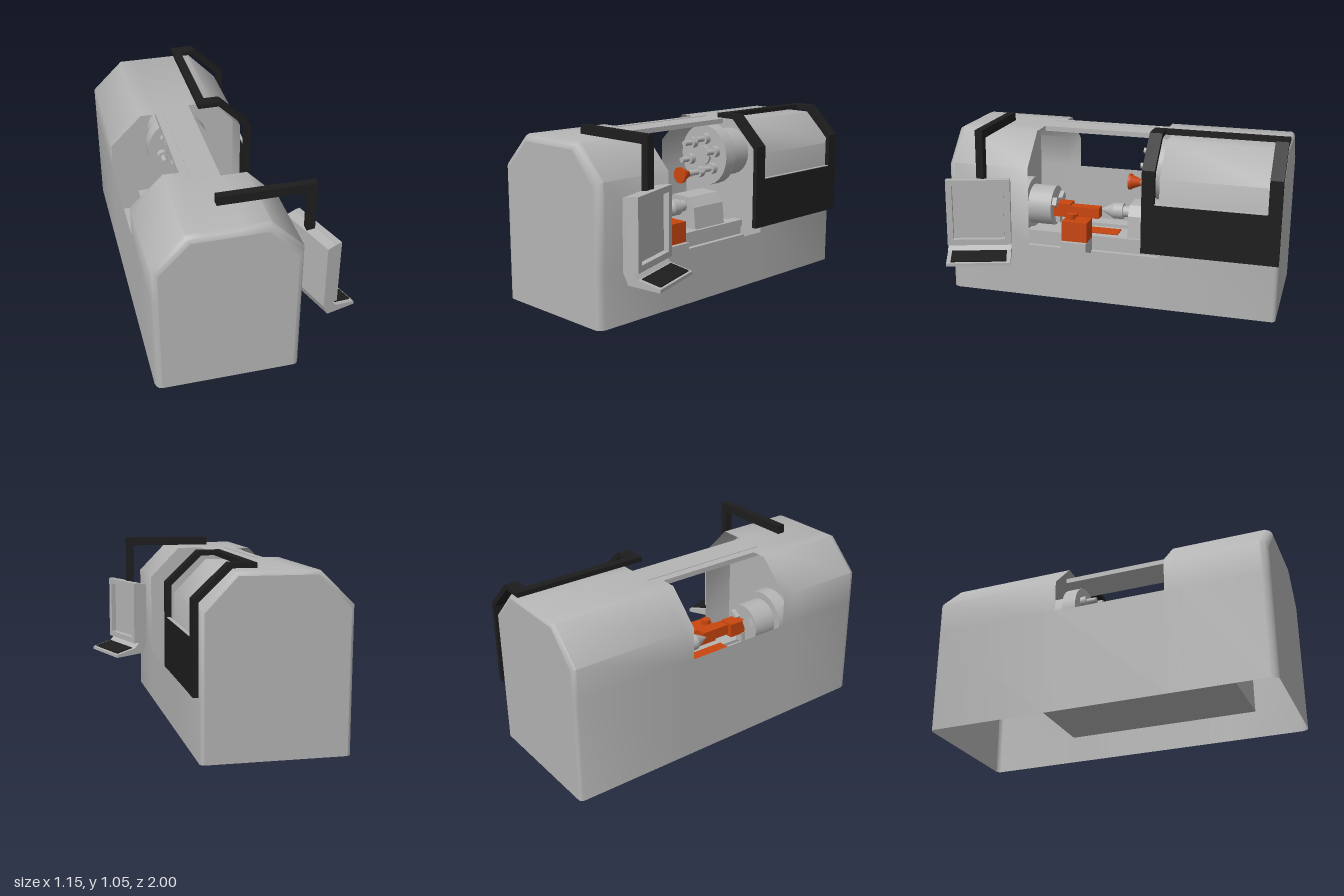
import * as THREE from 'three';
import { toCreasedNormals } from 'three/addons/utils/BufferGeometryUtils.js';

const mat = (name, color, double) => {
  const m = new THREE.MeshStandardMaterial({ color });
  m.name = name;
  if (double) m.side = THREE.DoubleSide;
  return m;
};

export function createModel() {
  const grey = mat('machine grey', 0xb4b4b4, true);
  const black = mat('frame black', 0x1d1d1d);
  const orange = mat('tool orange', 0xc8460f);
  const model = new THREE.Group();
  model.name = 'lathe';
  const machine = new THREE.Group();
  machine.name = 'machine';
  machine.rotation.x = -0.012; // slight lean of the whole machine
  machine.position.set(0, 0.012, 0.01);
  model.add(machine);

  const add = (name, geo, m, parent = machine, x = 0, y = 0, z = 0) => {
    const mesh = new THREE.Mesh(geo, m);
    mesh.name = name;
    mesh.position.set(x, y, z);
    parent.add(mesh);
    return mesh;
  };
  // box given by its limits
  const box = (name, m, x0, x1, y0, y1, z0, z1, parent) =>
    add(name, new THREE.BoxGeometry(x1 - x0, y1 - y0, z1 - z0), m, parent,
      (x0 + x1) / 2, (y0 + y1) / 2, (z0 + z1) / 2);
  // cylinder or cone along z, from z0 (radius r0) to z1 (radius r1)
  const rod = (name, m, x, y, z0, z1, r0, r1 = r0) =>
    add(name, new THREE.CylinderGeometry(r1, r0, z1 - z0, 24).rotateX(Math.PI / 2), m, machine, x, y, (z0 + z1) / 2);
  const shapeOf = pts => new THREE.Shape(pts.map(p => new THREE.Vector2(p[0], p[1])));
  const extrude = (pts, depth) => new THREE.ExtrudeGeometry(shapeOf(pts), { depth, bevelEnabled: false });

  // Housing shell: profile swept along z, with front and rear openings left out
  const profile = [[0.235, 0], [0.235, 0.31], [0.235, 0.795], [0.055, 0.98], [-0.09, 0.98], [-0.3, 0.98],
    [-0.39, 0.98], [-0.575, 0.8], [-0.575, 0.61], [-0.575, 0]];
  const rings = [[-0.995, 0.02], [-0.988, 0.007], [-0.975, 0], [-0.3, 0], [-0.24, 0], [0.41, 0], [0.49, 0],
    [0.95, 0], [0.975, 0.01], [0.986, 0.022], [0.99, 0.036]];
  const ringPoints = inset => profile.map(([x, y]) => [
    -0.17 + (x + 0.17) * (1 - inset / 0.405), y * (1 - inset / 0.98)]);
  const open = (i, z) => (i >= 1 && i <= 3 && z > -0.3 && z < 0.49) || (i >= 5 && i <= 7 && z > -0.24 && z < 0.41);
  const pos = [];
  for (let r = 0; r < rings.length - 1; r++) {
    const [z0, in0] = rings[r], [z1, in1] = rings[r + 1];
    const A = ringPoints(in0), B = ringPoints(in1);
    for (let i = 0; i < profile.length - 1; i++) {
      if (open(i, (z0 + z1) / 2)) continue;
      const a = [...A[i], z0], b = [...A[i + 1], z0], c = [...B[i + 1], z1], d = [...B[i], z1];
      pos.push(...a, ...b, ...c, ...a, ...c, ...d);
    }
  }
  const skin = new THREE.BufferGeometry();
  skin.setAttribute('position', new THREE.Float32BufferAttribute(pos, 3));
  add('housing', toCreasedNormals(skin, 0.85), grey);
  add('frontEnd', new THREE.ShapeGeometry(shapeOf(ringPoints(0.036))), grey, machine, 0, 0, 0.99);
  const backEnd = ringPoints(0.02).map(([x, y]) => [-x, y]);
  add('backEnd', new THREE.ShapeGeometry(shapeOf(backEnd)), grey, machine, 0, 0, -0.995).rotation.y = Math.PI;

  // Work chamber: low floor, end walls, roof beam and stepped bed
  box('chamberFloor', grey, -0.57, 0.23, 0.16, 0.175, -0.47, 0.69);
  const wall = [[0.232, 0.165], [0.232, 0.79], [0.053, 0.977], [-0.388, 0.977], [-0.572, 0.798], [-0.572, 0.165]];
  for (const z of [-0.468, 0.688]) add('chamberWall', new THREE.ShapeGeometry(shapeOf(wall)), grey, machine, 0, 0, z);
  box('roofBeam', grey, -0.3, -0.092, 0.95, 0.979, -0.3, 0.49);
  box('roofTrack', grey, -0.251, -0.247, 0.978, 0.983, -0.31, 0.48);
  add('bed', extrude([[-0.4, 0.17], [-0.03, 0.17], [-0.03, 0.22], [-0.06, 0.22], [-0.06, 0.27], [-0.05, 0.27],
    [-0.05, 0.315], [-0.12, 0.315], [-0.12, 0.295], [-0.3, 0.295], [-0.3, 0.315], [-0.4, 0.315]], 1.1),
    grey, machine, 0, 0, -0.45);

  // Spindle: long chuck, flange and jaws
  const sx = -0.18, sy = 0.45;
  rod('chuck', grey, sx, sy, 0.45, 0.69, 0.125);
  rod('spindleFlange', grey, sx, sy, 0.6, 0.69, 0.17);
  for (let k = 0; k < 3; k++) {
    const jaw = new THREE.BoxGeometry(0.05, 0.06, 0.03).translate(0, 0.075, 0);
    add('chuckJaw', jaw, grey, machine, sx, sy, 0.437).rotation.z = Math.PI / 3 + k * Math.PI * 2 / 3;
  }

  // Tailstock with live centre
  add('tailstock', extrude([[-0.3, 0.31], [-0.07, 0.31], [-0.085, 0.45], [-0.13, 0.51], [-0.27, 0.51], [-0.3, 0.45]], 0.26),
    grey, machine, 0, 0, -0.3);
  rod('tailstockSleeve', grey, sx, sy, -0.04, 0.01, 0.035);
  rod('liveCentre', grey, sx, sy, 0.01, 0.07, 0.05);
  rod('liveCentreTip', grey, sx, sy, 0.07, 0.16, 0.05, 0.003);

  // Tool slide and tool
  box('toolSlide', orange, -0.05, 0.065, 0.305, 0.43, 0.18, 0.34);
  box('toolSlideBase', grey, -0.05, 0.09, 0.175, 0.305, 0.18, 0.34);
  box('slidePlate', orange, -0.2, -0.1, 0.315, 0.322, 0.03, 0.34);
  box('toolHolder', orange, -0.2, -0.11, 0.4, 0.485, 0.34, 0.5);
  box('toolBar', orange, -0.17, -0.1, 0.41, 0.475, 0.15, 0.34);
  box('toolArm', orange, -0.1, -0.01, 0.41, 0.435, 0.285, 0.32);
  add('toolKnob', new THREE.CylinderGeometry(0.028, 0.028, 0.04, 20), orange, machine, -0.005, 0.44, 0.3);

  // Tool turret
  const tx = -0.17, ty = 0.75;
  rod('turretBody', grey, tx, ty, -0.465, -0.3, 0.15);
  rod('turretDisc', grey, tx, ty, -0.3, -0.215, 0.19);
  rod('turretHub', grey, tx, ty, -0.215, -0.2, 0.06);
  for (let k = 0; k < 6; k++) {
    const a = k * Math.PI / 3 - Math.PI / 2 - 0.2;
    const x = tx + Math.cos(a) * 0.11, y = ty + Math.sin(a) * 0.11;
    rod('toolSocket', grey, x, y, -0.215, -0.18, 0.034);
    rod('turretTool', grey, x, y, -0.18, -0.12, 0.017);
    if (k === 0) {
      rod('coneToolNeck', grey, x, y, -0.12, -0.09, 0.02);
      rod('coneTool', orange, x, y, -0.1, -0.035, 0.018, 0.045);
      rod('coneToolRim', orange, x, y, -0.035, -0.02, 0.05, 0.05);
    }
  }

  // Sliding door: two bent bars, a top bar and a lower panel with a pale ledge
  const bar = [[-0.05, 1], [0.075, 1], [0.247, 0.835], [0.247, 0.355], [0.275, 0.355], [0.275, 0.85],
    [0.09, 1.027], [-0.05, 1.027]];
  for (const z of [-0.997, -0.28]) add('doorBar', extrude(bar, 0.075), black, machine, 0, 0, z);
  box('doorTopBar', black, -0.05, 0, 1, 1.027, -0.93, -0.27);
  box('doorPanel', black, 0.255, 0.274, 0.355, 0.65, -0.93, -0.27);
  box('doorLedge', grey, 0.255, 0.273, 0.65, 0.654, -0.93, -0.27);

  // Control arm
  box('armBeam', black, -0.18, 0.36, 0.982, 1.033, 0.715, 0.76);
  box('armPost', black, 0.313, 0.36, 0.735, 0.982, 0.715, 0.76);

  // Control panel, turned towards the operator: local x outwards, local z across
  const panel = new THREE.Group();
  panel.name = 'controlPanel';
  panel.position.set(0.311, -0.025, 0.768);
  panel.rotation.y = 0.325;
  machine.add(panel);
  add('panelBody', extrude([[0, 0.37], [0, 0.76], [0.055, 0.77], [0.055, 0.375], [0.085, 0.342], [0.215, 0.309],
    [0.215, 0.29], [0.03, 0.305]], 0.37), grey, panel, 0, 0, -0.185);
  const bezel = shapeOf([[-0.185, 0.375], [0.185, 0.375], [0.185, 0.772], [-0.185, 0.772]]);
  bezel.holes.push(new THREE.Path([[-0.15, 0.41], [-0.15, 0.737], [0.15, 0.737], [0.15, 0.41]]
    .map(p => new THREE.Vector2(...p))));
  add('screenBezel', new THREE.ExtrudeGeometry(bezel, { depth: 0.035, bevelEnabled: false }).rotateY(Math.PI / 2),
    grey, panel, 0.055);
  box('screen', grey, 0.055, 0.062, 0.415, 0.732, -0.145, 0.145, panel);
  const keys = add('keyboard', new THREE.BoxGeometry(0.11, 0.008, 0.32), black, panel, 0.15, 0.328, 0);
  keys.rotation.z = -0.25;

  return model;
}
